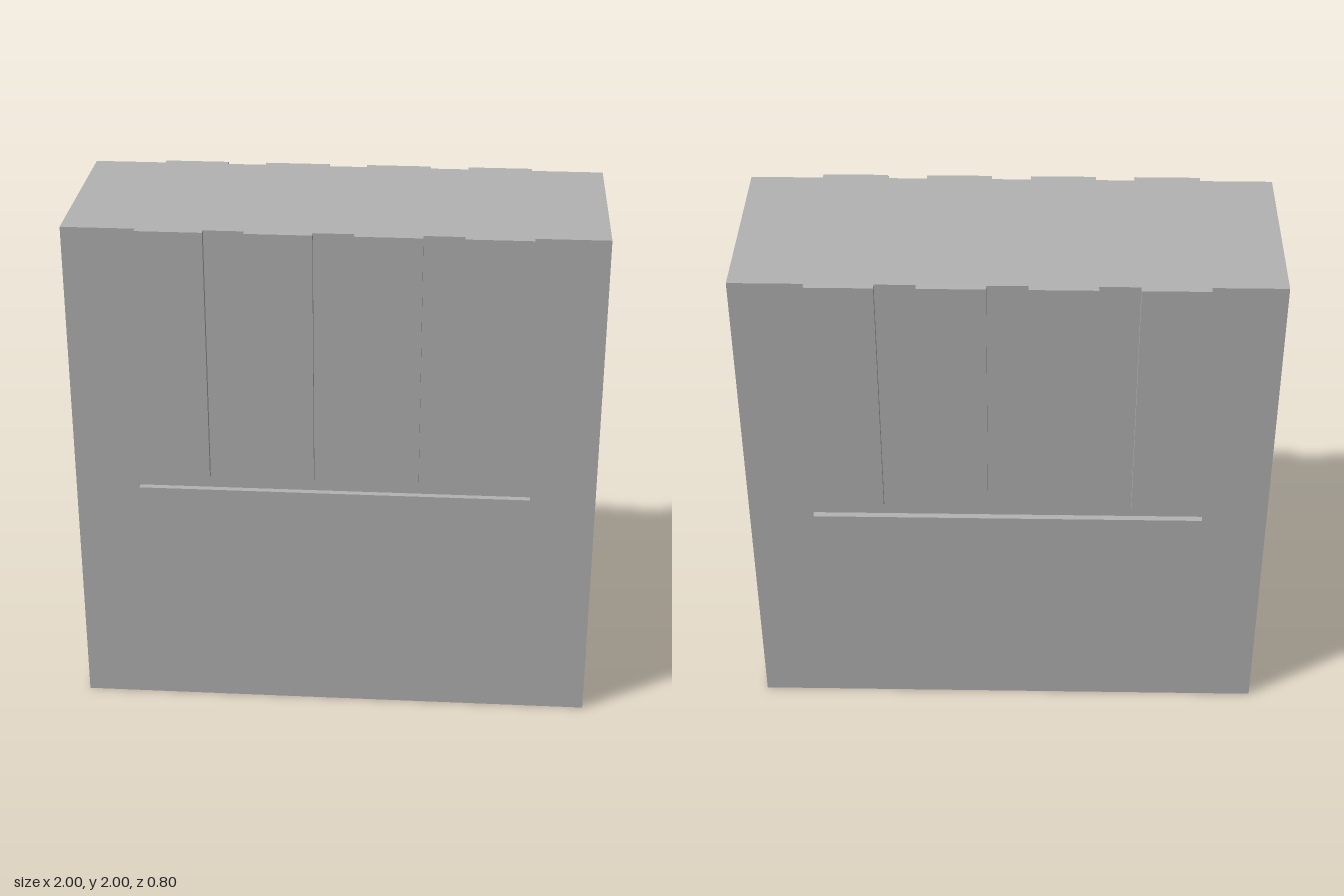
import * as THREE from 'three';

const grey = new THREE.MeshStandardMaterial({ color: 0xb3b3b3 });
grey.name = 'plain grey';

// Box given by its size and centre
function block(name, w, h, d, x, y, z) {
  const mesh = new THREE.Mesh(new THREE.BoxGeometry(w, h, d), grey);
  mesh.name = name;
  mesh.position.set(x, y, z);
  return mesh;
}

export function createModel() {
  const model = new THREE.Group();
  model.name = 'panelledBlock';

  const bodyDepth = 0.75;
  const relief = 0.025;
  model.add(block('body', 2, 2, bodyDepth, 0, 1, 0));

  // Raised strips and label panel, the same on front and back
  for (const [side, sign] of [['front', 1], ['back', -1]]) {
    const z = sign * (bodyDepth + relief) / 2;
    for (const x of [-0.6, -0.2, 0.2, 0.6]) {
      model.add(block(side + 'Strip', 0.25, 1, relief, x, 1.5, z));
    }
    model.add(block(side + 'Panel', 1.5, 0.6, relief, 0, 0.65, z));
  }

  return model;
}
